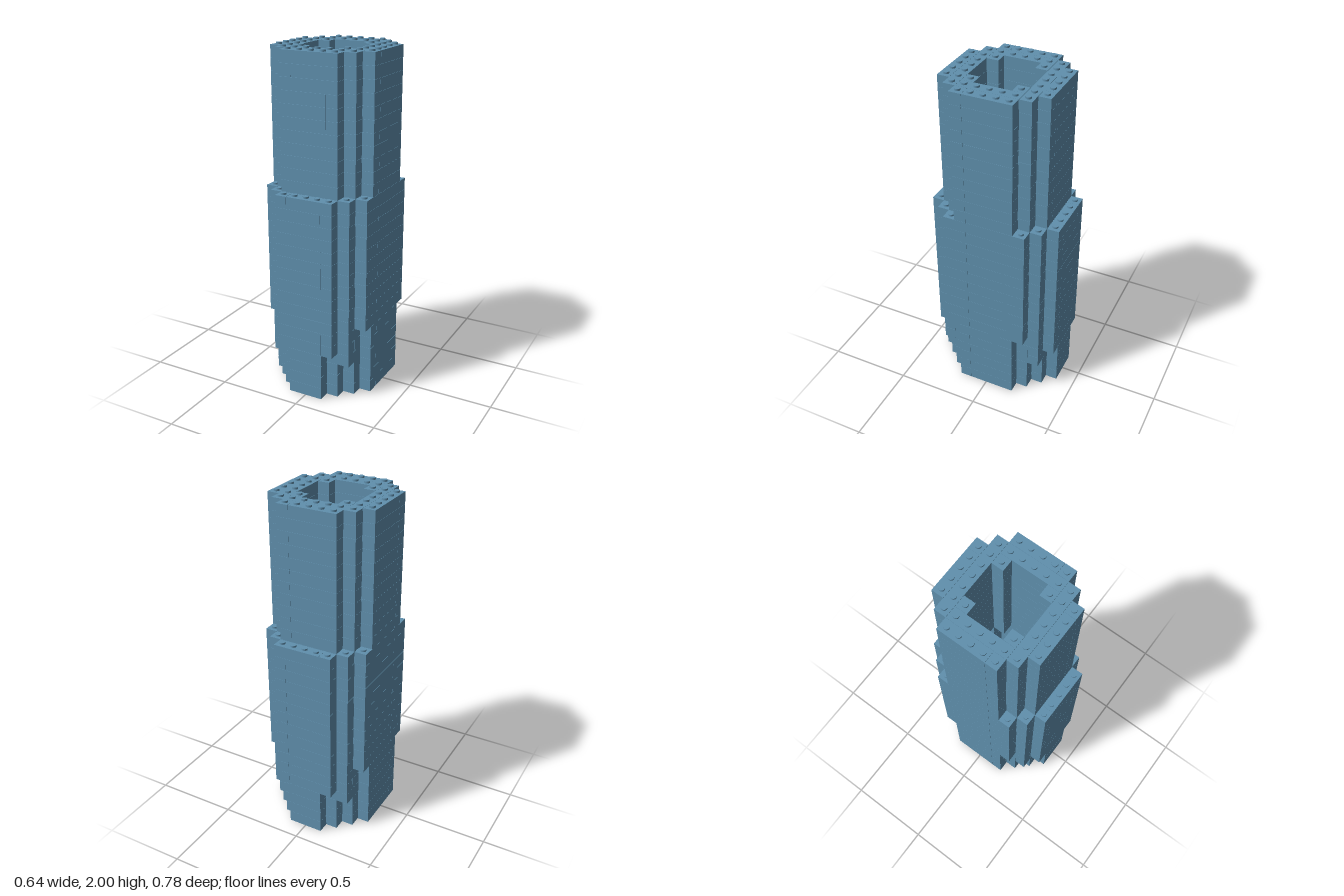
import * as THREE from 'three';
import { mergeGeometries } from 'three/addons/utils/BufferGeometryUtils.js';

const P = 0.0709;       // stud pitch
const H = 1.99 / 28;    // course height
const GAP = 0.001;      // joint between bricks
const STUD_R = 0.0165, STUD_H = 0.01;

// One brick: edges in stud units, course index counted from the ground
function brick(x0, x1, z0, z1, course) {
  const g = new THREE.BoxGeometry((x1 - x0) * P - GAP, H - GAP, (z1 - z0) * P - GAP);
  return g.translate((x0 + x1) / 2 * P, (course + 0.5) * H, (z0 + z1) / 2 * P);
}

// One hollow course: d = half depth, a/b = half widths of the outer and second
// front rows, c = half length of the outer side rows
function course(i, d, a, b, c) {
  const seam = [3, 16, 26].includes(i) ? -1.5 : 1.5;
  const out = [];
  for (const s of [-1, 1]) {
    const row = (x0, x1, z0, z1) =>
      out.push(s > 0 ? brick(x0, x1, z0, z1, i) : brick(x0, x1, -z1, -z0, i));
    // front and back rows
    if (a > 1.5) {
      row(-a, seam, d - 1, d);
      row(seam, a, d - 1, d);
    } else row(-a, a, d - 1, d);
    row(-b, b, d - 2, d - 1);
    // side rows
    const [o0, o1] = s > 0 ? [3.5, 4.5] : [-4.5, -3.5];
    out.push(brick(o0, o1, -c, 1.5, i), brick(o0, o1, 1.5, c, i));
    const [n0, n1] = s > 0 ? [2.5, 3.5] : [-3.5, -2.5];
    out.push(brick(n0, n1, -(d - 2), d - 2, i));
    // inner corners
    row(1.5, 2.5, d - 3, d - 2);
    row(-2.5, -1.5, d - 3, d - 2);
  }
  return out;
}

// Studs on every cell accepted by the test
function studs(y, test) {
  const out = [];
  for (let x = -4; x <= 4; x++) {
    for (let z = -5; z <= 5; z++) {
      if (!test(Math.abs(x), Math.abs(z))) continue;
      const g = new THREE.CylinderGeometry(STUD_R, STUD_R, STUD_H + GAP, 16);
      out.push(g.translate(x * P, y + (STUD_H - GAP) / 2, z * P));
    }
  }
  return out;
}

const inUpper = (x, z) => x <= 4 && z <= 4 && x + z <= 6;
const inLower = (x, z) => x <= 4 && z <= 5 && x + z <= 7;
const upperShaft = (x, z) => x <= 2 && z <= 2 && x + z <= 3;
const lowerShaft = (x, z) => x <= 2 && z <= 3 && x + z <= 4;

export function createModel() {
  const blue = new THREE.MeshStandardMaterial({ color: 0x6090ae });
  blue.name = 'dustyBlue';
  const model = new THREE.Group();
  model.name = 'brickTower';

  const add = (name, parts) => {
    const mesh = new THREE.Mesh(mergeGeometries(parts), blue);
    mesh.name = name;
    model.add(mesh);
  };

  const base = [], body = [], shaft = [];
  // solid base of three courses
  for (let i = 0; i < 3; i++) {
    base.push(...course(i, 5.5, 1.5, 2.5, 2.5), brick(-2.5, 2.5, -3.5, 3.5, i));
  }
  // wide body, whose corners start at staggered heights
  for (let i = 3; i < 17; i++) {
    body.push(...course(i, 5.5, i < 4 ? 1.5 : 2.5, 3.5, i < 6 ? 2.5 : 3.5));
  }
  // narrower upper tower
  for (let i = 17; i < 28; i++) shaft.push(...course(i, 4.5, 2.5, 3.5, 2.5));

  add('base', base);
  add('lowerBody', body);
  add('upperTower', shaft);
  add('floorStuds', studs(3 * H, lowerShaft));
  add('ledgeStuds', studs(17 * H, (x, z) => inLower(x, z) && !inUpper(x, z)));
  add('topStuds', studs(28 * H, (x, z) => inUpper(x, z) && !upperShaft(x, z)));
  return model;
}
